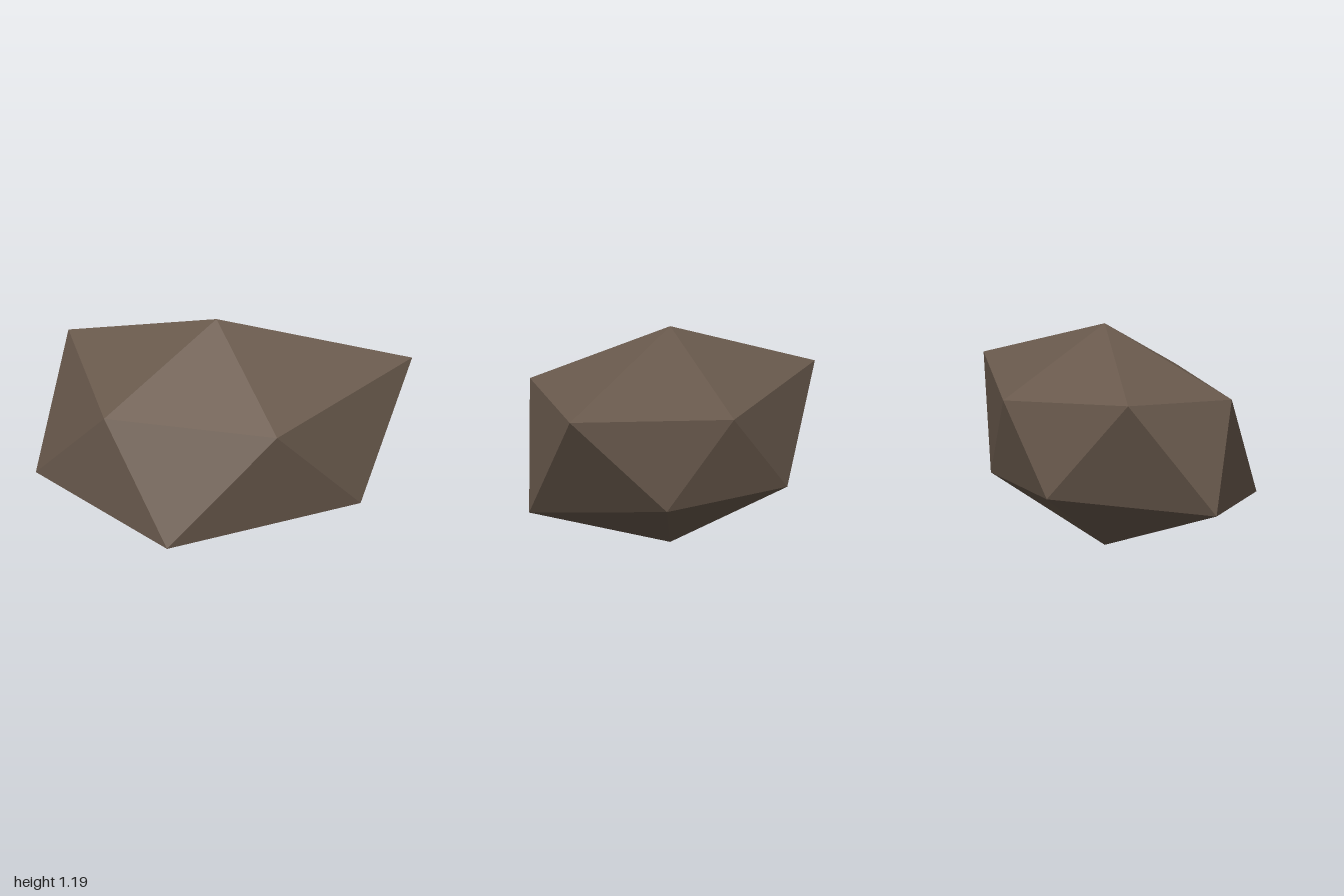
import * as THREE from 'three';

export function createModel() {
  const group = new THREE.Group();
  group.name = 'boulder';

  const stone = new THREE.MeshStandardMaterial({ color: 0x6b5b4e, flatShading: true });
  stone.name = 'brown stone';

  // Uneven twenty-sided rock: two tips and two staggered rings of five corners
  const top = [-0.04, 1.19, -0.1];
  const bottom = [-0.04, 0, -0.1];
  const upper = [[1, 0.91, -0.1], [0.24, 0.87, 0.6], [-0.66, 0.82, 0.27], [-0.8, 0.88, -0.54], [0.17, 0.8, -0.62]];
  const lower = [[0.7, 0.28, 0.33], [-0.35, 0.25, 0.68], [-1, 0.27, -0.1], [-0.28, 0.33, -0.68], [0.53, 0.35, -0.42]];

  const positions = [];
  const face = (...corners) => corners.forEach((c) => positions.push(...c));
  for (let i = 0; i < 5; i++) {
    const n = (i + 1) % 5;
    face(top, upper[n], upper[i]); // cap
    face(upper[i], upper[n], lower[i]); // side, pointing down
    face(lower[i], upper[n], lower[n]); // side, pointing up
    face(bottom, lower[i], lower[n]); // underside
  }

  const geometry = new THREE.BufferGeometry();
  geometry.setAttribute('position', new THREE.Float32BufferAttribute(positions, 3));
  geometry.computeVertexNormals();

  const rock = new THREE.Mesh(geometry, stone);
  rock.name = 'rock';
  group.add(rock);
  return group;
}
